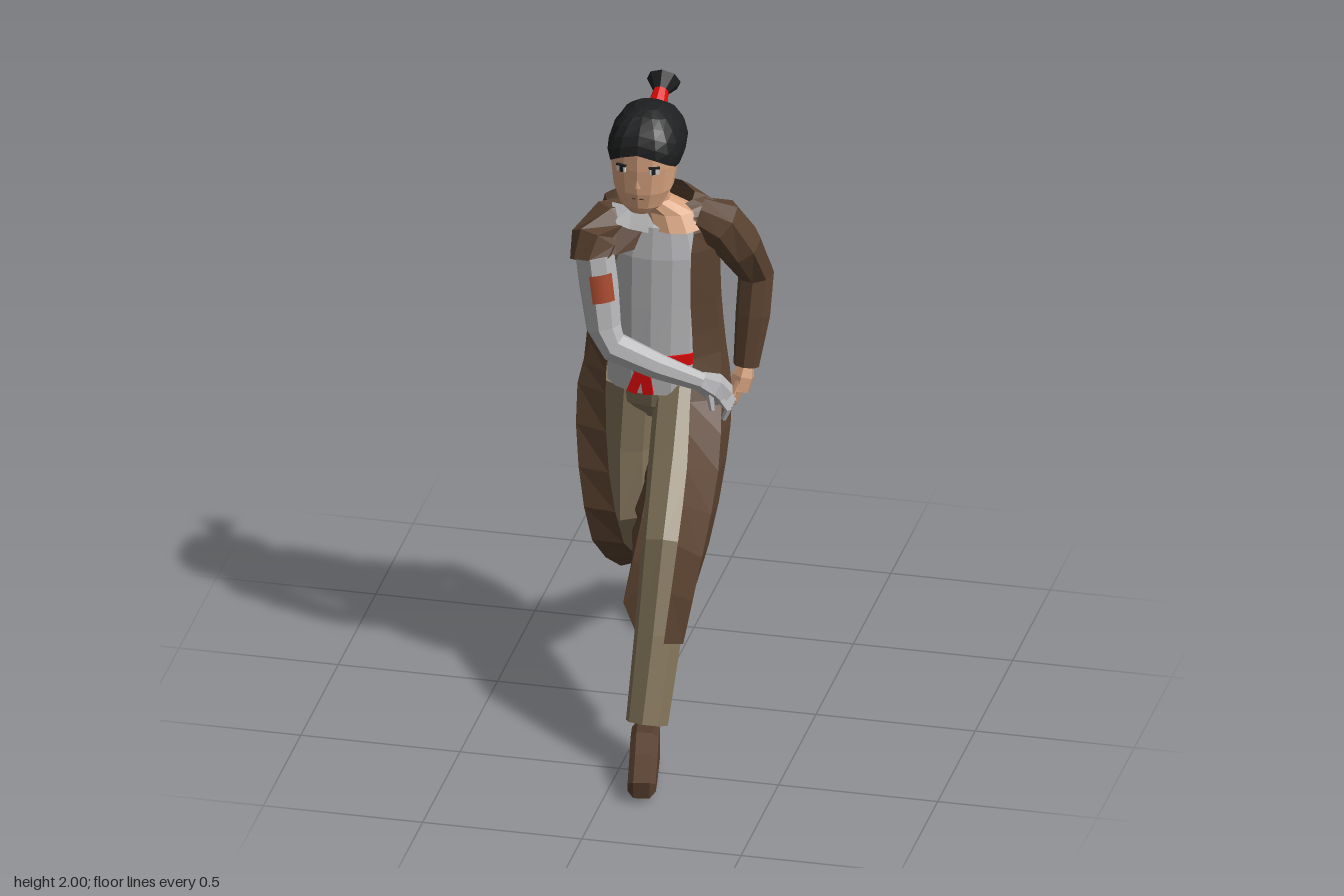
import * as THREE from 'three';

const mat = (name, color, side = THREE.FrontSide) => {
  const m = new THREE.MeshStandardMaterial({ color, side });
  m.name = name;
  return m;
};
const coat = mat('coat brown', 0x5a4230, THREE.DoubleSide);
const boot = mat('boot brown', 0x573f2f);
const trouser = mat('trouser khaki', 0x82745a);
const cloth = mat('shirt grey', 0xb4b4b6, THREE.DoubleSide);
const skin = mat('skin', 0xd6a27e);
const black = mat('hair black', 0x1e1f20, THREE.DoubleSide);
const red = mat('sash red', 0xdc0a0a);
const rust = mat('patch rust', 0xa8492e, THREE.DoubleSide);
const white = mat('eye white', 0xd8d8d8);

const V = (p) => new THREE.Vector3(p[0], p[1], p[2]);
const rad = THREE.MathUtils.degToRad;

// Faceted surface through rows of points
function loft(rows) {
  const pos = [];
  for (let i = 0; i + 1 < rows.length; i++) {
    for (let j = 0; j + 1 < rows[i].length; j++) {
      const a = rows[i][j], b = rows[i][j + 1], c = rows[i + 1][j + 1], d = rows[i + 1][j];
      for (const p of [a, b, c, a, c, d]) pos.push(p.x, p.y, p.z);
    }
  }
  const g = new THREE.BufferGeometry();
  g.setAttribute('position', new THREE.Float32BufferAttribute(pos, 3));
  g.computeVertexNormals();
  return g;
}

// Close both ends of a stack of rings
function capped(rings) {
  const tip = (ring) => {
    const c = new THREE.Vector3();
    ring.slice(1).forEach((p) => c.addScaledVector(p, 1 / (ring.length - 1)));
    return ring.map(() => c);
  };
  return loft([tip(rings[0]), ...rings, tip(rings[rings.length - 1])]);
}

// Stack of ellipses [y, cx, cz, rx, rz, drop at the front], bottom to top
const oval = ([y, cx, cz, rx, rz, drop = 0], a) =>
  new THREE.Vector3(cx + rx * Math.sin(a), y - drop * Math.cos(a), cz + rz * Math.cos(a));
const stack = (rows, n = 12) => capped(rows.map((r) =>
  Array.from({ length: n + 1 }, (_, j) => oval(r, (j / n) * Math.PI * 2))));

// Round limb along points [x, y, z, radius]
function limb(pts, n = 8, ref = [0, 0, 1]) {
  const P = pts.map(V);
  return capped(P.map((p, i) => {
    const t = P[Math.min(i + 1, P.length - 1)].clone().sub(P[Math.max(i - 1, 0)]).normalize();
    const w = V(ref).addScaledVector(t, -V(ref).dot(t)).normalize();
    const u = t.clone().cross(w);
    return Array.from({ length: n + 1 }, (_, j) => {
      const a = (j / n) * Math.PI * 2;
      return p.clone().addScaledVector(u, pts[i][3] * Math.sin(a)).addScaledVector(w, pts[i][3] * Math.cos(a));
    });
  }));
}

export function createModel() {
  const model = new THREE.Group();
  const add = (name, geo, material, at = [0, 0, 0], rot = [0, 0, 0]) => {
    const m = new THREE.Mesh(geo, material);
    m.name = name;
    m.position.set(...at);
    m.rotation.set(...rot);
    model.add(m);
    return m;
  };

  // Long open coat: upper body from ovals, skirt from fold lines
  const body = [
    [1.63, -0.03, -0.19, 0.105, 0.06, 0.025], [1.6, -0.03, -0.19, 0.18, 0.085, 0.02],
    [1.48, -0.035, -0.18, 0.19, 0.12], [1.3, -0.045, -0.18, 0.205, 0.125],
    [1.13, -0.045, -0.18, 0.22, 0.135],
  ];
  const angles = [40, 75, 105, 150, 180, 195, 205, 225, 265, 300, 325].map(rad);
  const folds = [
    [[0.1, 1.01, -0.02], [0.135, 0.88, 0.17], [0.15, 0.71, 0.36], [0.13, 0.42, 0.46]],
    [[0.18, 0.99, -0.1], [0.21, 0.83, 0.07], [0.21, 0.64, 0.29], [0.17, 0.38, 0.37]],
    [[0.19, 0.97, -0.2], [0.2, 0.8, -0.08], [0.19, 0.6, 0.11], [0.13, 0.35, 0.25]],
    [[0.09, 0.95, -0.3], [0.08, 0.82, -0.2], [0.06, 0.62, 0.0], [-0.01, 0.35, 0.25]],
    [[-0.04, 0.95, -0.31], [-0.04, 0.81, -0.18], [-0.05, 0.6, -0.01], [-0.07, 0.39, 0.15]],
    [[-0.08, 0.94, -0.315], [-0.115, 0.77, -0.22], [-0.135, 0.57, -0.19], [-0.125, 0.42, -0.28]],
    [[-0.1, 0.94, -0.315], [-0.07, 0.77, -0.27], [-0.07, 0.59, -0.265], [-0.07, 0.44, -0.43]],
    [[-0.18, 0.95, -0.31], [-0.15, 0.77, -0.295], [-0.15, 0.59, -0.29], [-0.14, 0.45, -0.46]],
    [[-0.28, 0.95, -0.2], [-0.28, 0.75, -0.16], [-0.23, 0.52, -0.2], [-0.2, 0.38, -0.42]],
    [[-0.27, 1.0, -0.09], [-0.25, 0.75, -0.02], [-0.21, 0.5, -0.03], [-0.19, 0.27, -0.33]],
    [[-0.17, 1.0, -0.04], [-0.15, 0.75, 0.0], [-0.11, 0.5, -0.03], [-0.09, 0.32, -0.3]],
  ];
  add('coat', loft(folds.map((f, i) =>
    new THREE.CatmullRomCurve3([...body.map((r) => oval(r, angles[i])), ...f.map(V)]).getPoints(16))), coat);
  add('lapel', loft([
    [[-0.2, 1.5, 0.0], [-0.13, 1.49, -0.01], [-0.08, 1.5, -0.04]].map(V),
    [[-0.22, 1.56, -0.06], [-0.14, 1.57, -0.06], [-0.06, 1.555, -0.065]].map(V),
  ]), coat);

  // Shirt, its collar and the sash
  add('shirt', stack([
    [1.01, -0.03, -0.17, 0.165, 0.13], [1.13, -0.03, -0.17, 0.16, 0.13],
    [1.3, -0.03, -0.17, 0.165, 0.12], [1.46, -0.03, -0.17, 0.165, 0.11],
    [1.56, -0.03, -0.165, 0.14, 0.085], [1.59, -0.03, -0.165, 0.08, 0.05],
  ], 16), cloth);
  add('shirtCollar', loft([
    [[-0.15, 1.575, -0.058], [-0.1, 1.56, -0.056], [-0.04, 1.55, -0.062]].map(V),
    [[-0.165, 1.622, -0.105], [-0.1, 1.618, -0.095], [-0.045, 1.6, -0.085]].map(V),
  ]), cloth);
  add('sash', stack([[1.11, -0.03, -0.17, 0.168, 0.138], [1.145, -0.03, -0.17, 0.168, 0.138]], 16), red);
  add('sashKnot', new THREE.BoxGeometry(0.045, 0.045, 0.03), red, [-0.055, 1.12, -0.03]);
  for (const [x, tilt] of [[-0.068, -0.35], [-0.04, 0.15]])
    add('sashTail', new THREE.BoxGeometry(0.032, 0.1, 0.009), red, [x, 1.068, -0.026], [0, 0, tilt]);

  // Trousers
  add('hips', stack([
    [0.9, -0.03, -0.18, 0.07, 0.07], [0.96, -0.03, -0.175, 0.15, 0.115], [1.04, -0.03, -0.17, 0.155, 0.12],
  ]), trouser);
  add('leftLeg', limb([
    [0.055, 1.0, -0.15, 0.095], [0.075, 0.82, 0.04, 0.092], [0.095, 0.655, 0.255, 0.082],
    [0.088, 0.4, 0.355, 0.074], [0.075, 0.14, 0.45, 0.066],
  ], 8, [1, 0, 0]), trouser);
  add('rightLeg', limb([
    [-0.12, 1.01, -0.17, 0.095], [-0.135, 0.78, -0.175, 0.092], [-0.135, 0.57, -0.17, 0.09],
    [-0.13, 0.46, -0.25, 0.086], [-0.135, 0.21, -0.61, 0.06],
  ], 8, [1, 0, 0]), trouser);

  // Boots: a side profile with rounded edges
  const side = new THREE.Shape([[0, 0], [0.18, 0], [0.28, 0.015], [0.285, 0.07], [0.17, 0.11], [0.09, 0.145], [-0.02, 0.135]]
    .map(([z, y]) => new THREE.Vector2(-z, y)));
  const bootGeo = new THREE.ExtrudeGeometry(side, {
    depth: 0.05, bevelEnabled: true, bevelSize: 0.018, bevelOffset: -0.018, bevelThickness: 0.018, bevelSegments: 1,
  });
  bootGeo.translate(0, 0, -0.025).rotateY(Math.PI / 2);
  add('leftBoot', bootGeo, boot, [0.07, 0, 0.44], [0, 0.18, 0]);
  add('rightBoot', bootGeo, boot, [-0.138, 0.125, -0.715], [0.46, 0.14, 0]);

  // Left arm: full sleeve and bare hand
  add('leftSleeve', limb([
    [0.09, 1.57, -0.18, 0.06], [0.155, 1.55, -0.185, 0.08], [0.205, 1.46, -0.23, 0.073],
    [0.24, 1.33, -0.308, 0.056], [0.235, 1.2, -0.285, 0.054], [0.222, 1.04, -0.25, 0.04],
  ]), coat);
  add('leftHand', limb([
    [0.222, 1.05, -0.25, 0.026], [0.215, 1.01, -0.24, 0.036], [0.205, 0.965, -0.23, 0.034],
  ], 6), skin);
  for (let i = 0; i < 4; i++) {
    const z = -0.258 + i * 0.018;
    add('leftFinger', limb([[0.207, 0.975, z, 0.011], [0.197, 0.935, z, 0.01], [0.178, 0.908 + 0.004 * i, z + 0.006, 0.007]], 5), skin);
  }
  add('leftThumb', limb([[0.21, 1.0, -0.215, 0.013], [0.195, 0.96, -0.195, 0.009]], 5), skin);

  // Right arm: short sleeve, grey wrapped arm and glove
  add('rightSleeve', limb([
    [-0.11, 1.56, -0.17, 0.06], [-0.17, 1.54, -0.12, 0.082], [-0.205, 1.505, -0.055, 0.08], [-0.208, 1.45, -0.025, 0.07],
  ]), coat);
  add('rightArm', limb([
    [-0.2, 1.48, -0.025, 0.062], [-0.185, 1.38, -0.015, 0.062], [-0.165, 1.25, 0.005, 0.056],
    [-0.13, 1.19, 0.015, 0.05], [0.0, 1.135, 0.005, 0.042], [0.14, 1.085, -0.015, 0.03],
  ]), cloth);
  add('armPatch', new THREE.CylinderGeometry(0.068, 0.067, 0.09, 6, 1, true, -0.1, 1.1), rust,
    [-0.188, 1.385, -0.016], [-0.1, 0, 0.15]);
  add('rightGlove', limb([
    [0.13, 1.088, -0.015, 0.03], [0.17, 1.065, -0.035, 0.044], [0.2, 1.03, -0.05, 0.04],
  ], 6), cloth);
  for (let i = 0; i < 4; i++) {
    const z = -0.085 + i * 0.022;
    add('rightFinger', limb([[0.195, 1.035, z, 0.014], [0.22, 1.0, z, 0.012], [0.205, 0.965, z, 0.009]], 5), cloth);
  }
  add('rightThumb', limb([[0.165, 1.05, -0.01, 0.014], [0.175, 1.0, 0.0, 0.009]], 5), cloth);

  // Neck and head
  add('neck', stack([
    [1.55, 0.025, -0.14, 0.085, 0.07], [1.6, 0.005, -0.155, 0.08, 0.065],
    [1.64, -0.045, -0.14, 0.056, 0.052], [1.76, -0.055, -0.11, 0.05, 0.05],
  ], 10), skin);
  const hx = -0.055;
  add('head', stack([
    [1.648, hx, -0.02, 0.035, 0.028], [1.67, hx, -0.035, 0.066, 0.052], [1.72, hx, -0.06, 0.092, 0.086],
    [1.8, hx, -0.08, 0.105, 0.108], [1.86, hx, -0.09, 0.106, 0.115], [1.9, hx, -0.1, 0.085, 0.09],
  ], 14), skin);
  add('nose', new THREE.ConeGeometry(0.01, 0.045, 4), skin, [hx, 1.765, 0.024]);
  add('mouth', new THREE.BoxGeometry(0.036, 0.004, 0.006), boot, [hx, 1.705, 0.019]);
  for (const s of [-1, 1]) {
    add('eye', new THREE.BoxGeometry(0.03, 0.018, 0.008), white, [hx + s * 0.052, 1.802, 0.017], [0, s * 0.35, 0]);
    add('pupil', new THREE.BoxGeometry(0.012, 0.018, 0.008), black, [hx + s * 0.05, 1.802, 0.02], [0, s * 0.35, 0]);
    add('eyelid', new THREE.BoxGeometry(0.034, 0.005, 0.009), black, [hx + s * 0.052, 1.814, 0.018], [0, s * 0.35, 0]);
  }

  // Boxy hair cap with a hairline that drops towards the nape
  const boxy = (v) => Math.sign(v) * Math.pow(Math.abs(v), 0.75);
  const hair = [];
  for (let k = 6; k >= 0; k--) {
    hair.push(Array.from({ length: 17 }, (_, j) => {
      const a = (j / 16) * Math.PI * 2, f = (1 - Math.cos(a)) / 2;
      const t = rad(83 + 62 * Math.pow(f, 0.65)) * (k / 6);
      return new THREE.Vector3(hx + 0.117 * Math.sin(t) * boxy(Math.sin(a)), 1.84 + 0.126 * Math.cos(t),
        -0.115 + 0.145 * Math.sin(t) * boxy(Math.cos(a)));
    }));
  }
  add('hair', loft(hair), black);
  add('hairTie', limb([[hx + 0.005, 1.895, -0.205, 0.034], [hx + 0.005, 1.935, -0.27, 0.024]], 8, [1, 0, 0]), red);
  add('ponytail', limb([
    [hx + 0.005, 1.93, -0.262, 0.02], [hx + 0.005, 1.952, -0.308, 0.053],
  ], 8, [1, 0, 0]), black);

  return model;
}
